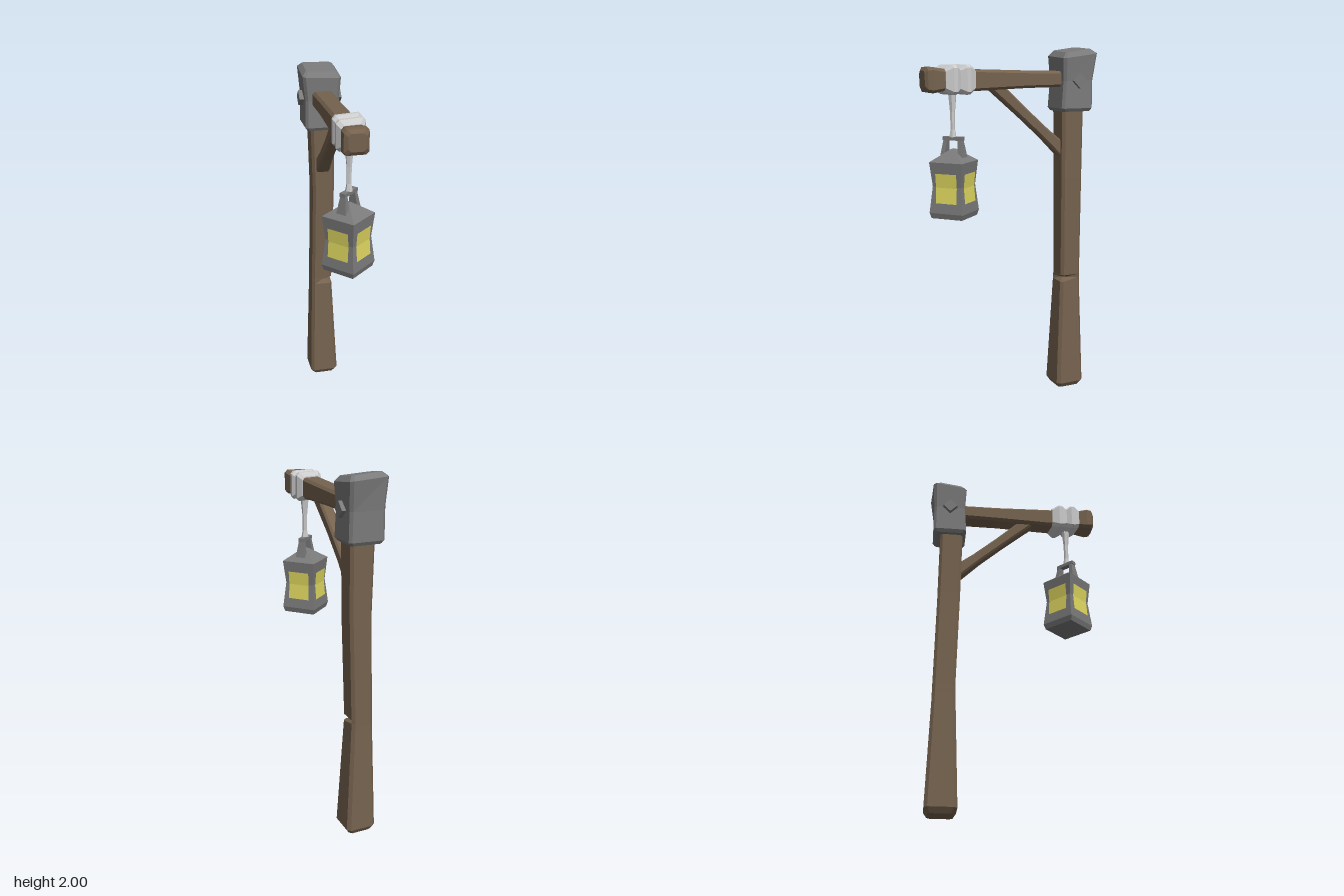
import * as THREE from 'three';

const paint = (color) => new THREE.MeshStandardMaterial({ color, flatShading: true });

// Loft through chamfered rectangles. Each row: [y, x0, x1, z0, z1, chamfer].
// warp(v) may shift every corner point for a hand-hewn look.
function loft(name, rows, material, warp = () => {}) {
  const pos = [];
  const rings = rows.map(([y, x0, x1, z0, z1, c]) => {
    const flat = c > 0
      ? [[x1, z1 - c], [x1, z0 + c], [x1 - c, z0], [x0 + c, z0],
         [x0, z0 + c], [x0, z1 - c], [x0 + c, z1], [x1 - c, z1]]
      : [[x1, z1], [x1, z0], [x0, z0], [x0, z1]];
    return flat.map(([x, z]) => {
      const v = new THREE.Vector3(x, y, z);
      warp(v);
      return v;
    });
  });
  const tri = (...vs) => vs.forEach((v) => pos.push(v.x, v.y, v.z));
  const n = rings[0].length;
  for (let r = 0; r + 1 < rings.length; r++) {
    const b = rings[r], t = rings[r + 1];
    for (let i = 0; i < n; i++) {
      const j = (i + 1) % n;
      tri(b[i], b[j], t[j]);
      tri(b[i], t[j], t[i]);
    }
  }
  const first = rings[0], last = rings[rings.length - 1];
  for (let i = 1; i + 1 < n; i++) {
    tri(last[0], last[i], last[i + 1]);
    tri(first[0], first[i + 1], first[i]);
  }
  const geo = new THREE.BufferGeometry();
  geo.setAttribute('position', new THREE.Float32BufferAttribute(pos, 3));
  geo.computeVertexNormals();
  const mesh = new THREE.Mesh(geo, material);
  mesh.name = name;
  return mesh;
}

// Row of a square section centred on the axis
const sq = (y, h, c = 0, d = h) => [y, -h, h, -d, d, c];

function createLantern(metal, glass) {
  const g = new THREE.Group();
  g.name = 'lantern';

  // Body with pinched waist and pyramid roof (heights are relative to the group)
  g.add(loft('lanternBody', [
    sq(1.095, 0.092), sq(1.125, 0.1), sq(1.27, 0.085), sq(1.4, 0.098), sq(1.468, 0.008),
  ], metal));

  // One pane on each side, following the waist
  for (let i = 0; i < 4; i++) {
    const geo = new THREE.PlaneGeometry(0.125, 0.16, 1, 2);
    const p = geo.attributes.position;
    const depth = [0.0945, 0.088, 0.0945];
    const height = [1.34, 1.265, 1.18];
    for (let k = 0; k < p.count; k++) {
      const row = Math.floor(k / 2);
      p.setY(k, height[row]);
      p.setZ(k, depth[row] + 0.0025);
    }
    geo.computeVertexNormals();
    const pane = new THREE.Mesh(geo, glass);
    pane.name = 'lanternPane';
    pane.rotation.y = i * Math.PI / 2;
    g.add(pane);
  }

  // Carrying handle: two tapered legs and a crossbar
  for (const s of [-1, 1]) {
    const leg = loft('handleLeg', [sq(1.405, 0.015, 0, 0.032), sq(1.525, 0.01, 0, 0.013)], metal,
      (v) => { v.x += s * (0.056 - (v.y - 1.405) * 0.12); });
    g.add(leg);
  }
  const bar = new THREE.Mesh(new THREE.BoxGeometry(0.115, 0.02, 0.032), metal);
  bar.name = 'handleBar';
  bar.position.y = 1.522;
  g.add(bar);
  return g;
}

export function createModel() {
  const model = new THREE.Group();
  model.name = 'lanternPost';
  const wood = paint(0x75624e);
  const metal = paint(0x7a7a7a);
  const cloth = paint(0xcccccc);
  const glass = paint(0xe0d860);

  // Upright post with a notch cut into its front left corner
  model.add(loft('post', [
    [0, -0.065, 0.065, -0.44, -0.305, 0.015],
    [0.03, -0.085, 0.085, -0.458, -0.287, 0.018],
    [0.655, -0.067, 0.056, -0.441, -0.315, 0.016],
    [0.675, -0.067, 0.055, -0.441, -0.316, 0.016],
    [0.695, -0.066, 0.056, -0.441, -0.317, 0.016],
    [1.27, -0.055, 0.07, -0.434, -0.306, 0.015],
    [1.72, -0.066, 0.073, -0.434, -0.302, 0.015],
  ], wood, (v) => {
    if (v.y === 0.675 && v.x > 0 && v.z > -0.37) { v.x -= 0.03; v.z -= 0.03; }
  }));

  // Metal cap with a sloping top
  model.add(loft('cap', [
    [1.65, -0.085, 0.088, -0.465, -0.295, 0.012],
    [1.668, -0.097, 0.1, -0.476, -0.284, 0.014],
    [1.82, -0.094, 0.097, -0.477, -0.295, 0.014],
    [1.96, -0.108, 0.107, -0.493, -0.288, 0.016],
    [1.987, -0.085, 0.085, -0.46, -0.312, 0.012],
  ], metal, (v) => {
    if (v.y > 1.9) {
      v.y += -(v.z + 0.385) * 0.13 - v.x * 0.06;
      if (v.z < -0.4) v.z -= v.x * 0.06;
    }
  }));

  // Diamond pegs on both sides of the cap
  for (const s of [-1, 1]) {
    const peg = new THREE.Mesh(new THREE.BoxGeometry(0.05, 0.06, 0.06), metal);
    peg.name = 'capPeg';
    peg.position.set(s * 0.095, 1.82, -0.383);
    peg.rotation.x = Math.PI / 4;
    model.add(peg);
  }

  // Horizontal beam, lofted upright and then laid forward (local z becomes -y)
  const lay = (mesh) => {
    mesh.rotation.x = Math.PI / 2;
    model.add(mesh);
  };
  lay(loft('beam', [
    [-0.32, -0.056, 0.06, -1.872, -1.785, 0.014],
    [-0.1, -0.053, 0.056, -1.876, -1.783, 0.014],
    [0.22, -0.055, 0.056, -1.886, -1.772, 0.014],
    [0.38, -0.055, 0.056, -1.886, -1.777, 0.014],
    [0.452, -0.07, 0.065, -1.9, -1.765, 0.016],
    [0.48, -0.065, 0.06, -1.898, -1.77, 0.016],
    [0.494, -0.045, 0.045, -1.88, -1.79, 0.014],
  ], wood));

  // Slanted double wrap around the beam
  const wrapRow = (z, h) => [z, -h, h, -1.833 - h, -1.833 + h, 0.016];
  lay(loft('wrap', [
    wrapRow(0.228, 0.059), wrapRow(0.265, 0.078), wrapRow(0.285, 0.078), wrapRow(0.315, 0.063),
    wrapRow(0.34, 0.078), wrapRow(0.36, 0.078), wrapRow(0.395, 0.059),
  ], cloth, (v) => { v.y -= v.x * 0.2; }));

  // Diagonal brace: leans from the post up to the beam, slightly bowed
  const brace = loft('brace', [
    sq(0, 0.042, 0.01, 0.04), sq(0.2, 0.034, 0.01, 0.03),
    sq(0.38, 0.032, 0.01, 0.03), sq(0.62, 0.036, 0.01, 0.034),
  ], wood);
  brace.position.set(0.003, 1.395, -0.364);
  brace.rotation.x = 0.845;
  model.add(brace);

  // Hanging cord, thin in the middle
  const cord = new THREE.Mesh(new THREE.LatheGeometry([
    [0, 1.525], [0.02, 1.53], [0.013, 1.57], [0.014, 1.66], [0.023, 1.755], [0, 1.758],
  ].map(([r, y]) => new THREE.Vector2(r, y)), 6), cloth);
  cord.name = 'cord';
  cord.position.z = 0.328;
  model.add(cord);

  const lantern = createLantern(metal, glass);
  lantern.position.z = 0.325;
  lantern.rotation.y = THREE.MathUtils.degToRad(42);
  model.add(lantern);

  return model;
}
